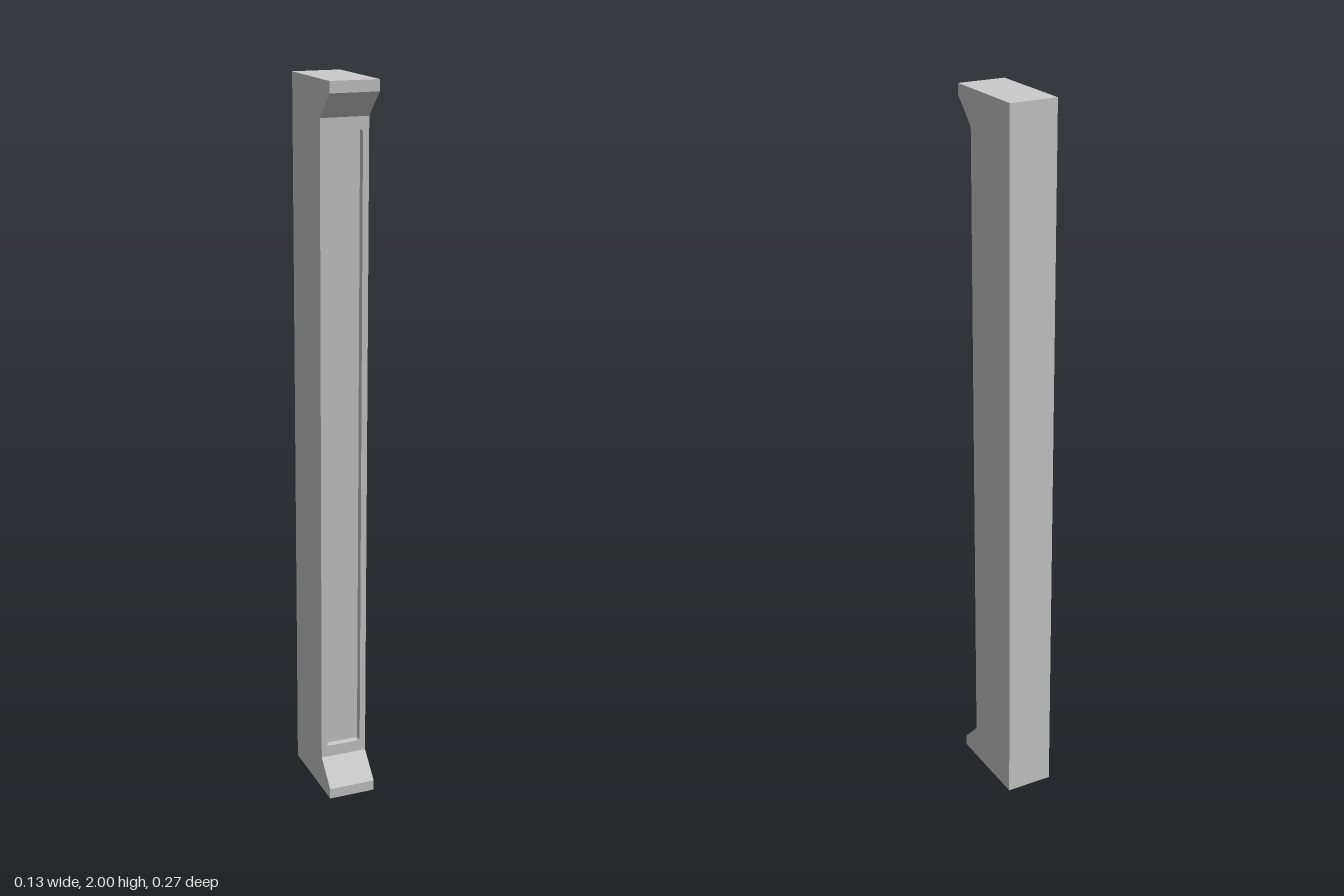
import * as THREE from 'three';

const HALF_W = 0.067, HALF_D = 0.133, H = 2;
const TOE = 0.03, SLOPE_END = 0.097;      // flared foot, mirrored at the head
const FACE = 0.067, RECESS = 0.02;        // shaft front and panel depth

const polygon = (pts) => new THREE.Shape(pts.map(([x, y]) => new THREE.Vector2(x, y)));

// Rounded rectangle outline for the sunken panel
function roundedRect(x, y0, y1, r) {
  const p = new THREE.Path();
  p.absarc(x - r, y0 + r, r, -Math.PI / 2, 0);
  p.absarc(x - r, y1 - r, r, 0, Math.PI / 2);
  p.absarc(-x + r, y1 - r, r, Math.PI / 2, Math.PI);
  p.absarc(-x + r, y0 + r, r, Math.PI, Math.PI * 1.5);
  p.closePath();
  return p;
}

export function createModel() {
  const group = new THREE.Group();
  group.name = 'pilaster';
  const material = new THREE.MeshStandardMaterial({ color: 0xcccccc });
  const add = (name, geometry) => {
    const mesh = new THREE.Mesh(geometry, material);
    mesh.name = name;
    group.add(mesh);
  };

  // Body: side profile (z, y) extruded across the width, with the panel floor as its shaft front
  const floor = FACE - RECESS;
  const foot = [[HALF_D, 0], [HALF_D, TOE], [FACE, SLOPE_END], [floor, SLOPE_END]];
  const head = foot.map(([z, y]) => [z, H - y]).reverse();
  const body = new THREE.ExtrudeGeometry(
    polygon([[-HALF_D, 0], ...foot, ...head, [-HALF_D, H]]),
    { depth: HALF_W * 2, bevelEnabled: false });
  body.translate(0, 0, -HALF_W).rotateY(-Math.PI / 2);
  add('body', body);

  // Frame around the sunken front panel
  const outline = polygon([
    [-HALF_W, SLOPE_END], [HALF_W, SLOPE_END], [HALF_W, H - SLOPE_END], [-HALF_W, H - SLOPE_END]]);
  outline.holes.push(roundedRect(0.05, 0.13, H - 0.13, 0.008));
  const frame = new THREE.ExtrudeGeometry(outline, { depth: RECESS, bevelEnabled: false, curveSegments: 4 });
  frame.translate(0, 0, floor);
  add('panelFrame', frame);

  return group;
}
